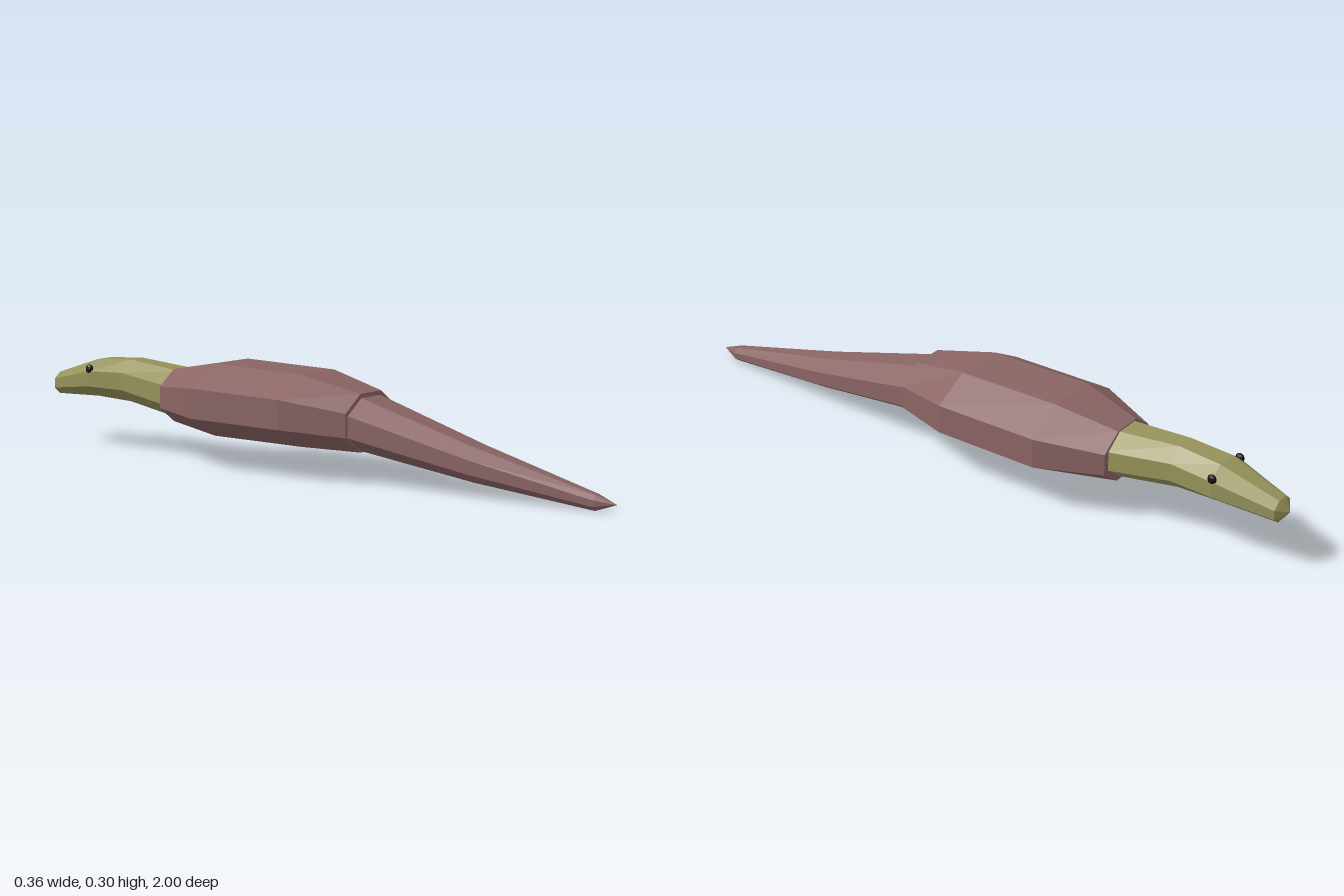
import * as THREE from 'three';

const SIDES = 8;

// Lofts eight-sided rings [z, centreY, halfWidth, halfHeight], listed from front (+z) to back
function loft(name, rings, color, frontZ = rings[0][0], backZ = rings[rings.length - 1][0]) {
  const points = [], index = [];
  const k = 1 / Math.cos(Math.PI / SIDES);
  for (const [z, y, w, h] of rings) {
    for (let i = 0; i < SIDES; i++) {
      const a = (i + 0.5) * 2 * Math.PI / SIDES;
      points.push(Math.cos(a) * w * k, y + Math.sin(a) * h * k, z);
    }
  }
  const last = (rings.length - 1) * SIDES;
  const front = rings.length * SIDES, back = front + 1;
  points.push(0, rings[0][1], frontZ, 0, rings[rings.length - 1][1], backZ);
  for (let i = 0; i < SIDES; i++) {
    const j = (i + 1) % SIDES;
    for (let r = 0; r < last; r += SIDES) {
      const a = r + i, b = r + j, c = a + SIDES, d = b + SIDES;
      index.push(a, c, d, a, d, b);
    }
    index.push(front, i, j, back, last + j, last + i);
  }
  const indexed = new THREE.BufferGeometry();
  indexed.setAttribute('position', new THREE.Float32BufferAttribute(points, 3));
  indexed.setIndex(index);
  const geometry = indexed.toNonIndexed();
  geometry.computeVertexNormals();
  const mesh = new THREE.Mesh(geometry, new THREE.MeshStandardMaterial({ color, flatShading: true }));
  mesh.name = name;
  return mesh;
}

export function createModel() {
  const group = new THREE.Group();
  group.name = 'creature';
  const skin = 0x8a6464, headColor = 0x96925a;

  // Barrel-shaped trunk with flat ends
  group.add(loft('body', [
    [0.205, 0.169, 0.115, 0.082],
    [0.02, 0.19, 0.18, 0.102],
    [-0.3, 0.194, 0.18, 0.105],
    [-0.485, 0.188, 0.105, 0.077],
  ], skin));

  // Long tapering tail ending in a point
  group.add(loft('tail', [
    [0.94, 0.024, 0.024, 0.021],
    [0.57, 0.088, 0.067, 0.048],
    [0.19, 0.168, 0.108, 0.075],
  ], skin, 1.0));

  // Neck and head with a blunt snout
  group.add(loft('neckAndHead', [
    [-0.47, 0.19, 0.089, 0.07],
    [-0.67, 0.215, 0.067, 0.063],
    [-0.8, 0.214, 0.074, 0.056],
    [-0.975, 0.183, 0.04, 0.033],
  ], headColor, -0.47, -1.0));

  // Eyes
  for (const side of [-1, 1]) {
    const eye = new THREE.Mesh(
      new THREE.SphereGeometry(1, 8, 6),
      new THREE.MeshStandardMaterial({ color: 0x111111, flatShading: true }));
    eye.name = side > 0 ? 'leftEye' : 'rightEye';
    eye.scale.set(0.009, 0.014, 0.014);
    eye.position.set(side * 0.069, 0.243, -0.8);
    group.add(eye);
  }
  return group;
}
